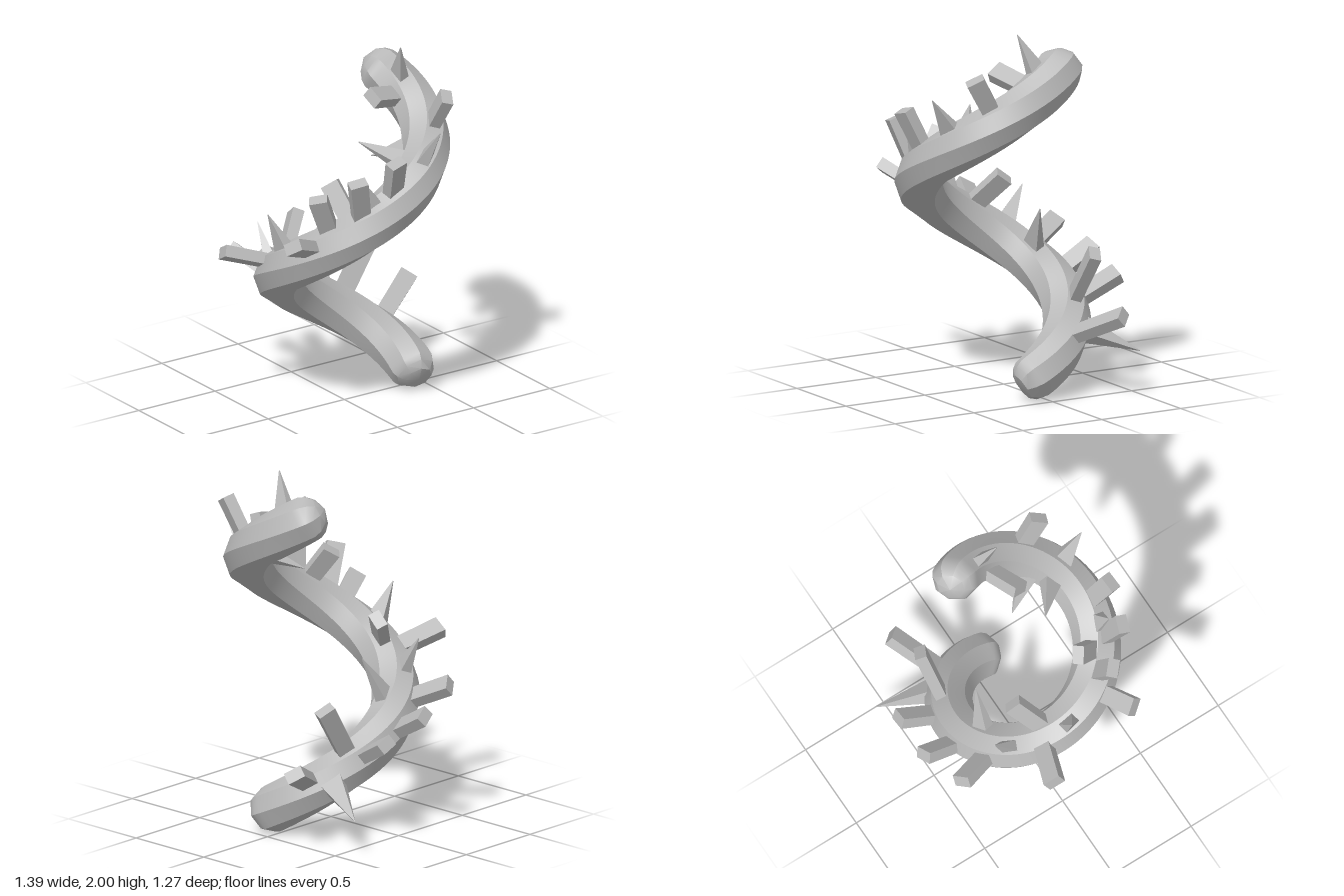
import * as THREE from 'three';
import { toCreasedNormals } from 'three/addons/utils/BufferGeometryUtils.js';

const RADIUS = 0.4, TUBE = 0.13, CZ = 0.07, START = -0.15, END = Math.PI * 2 + 0.74;
const V = (x, y, z) => new THREE.Vector3(x, y, z);

// Rising spiral, with its direction of travel
const spiral = a => V(RADIUS * Math.cos(a), 0.115 + 0.2445 * a, CZ - RADIUS * Math.sin(a));
const tangent = a => V(-RADIUS * Math.sin(a), 0.2445, -RADIUS * Math.cos(a)).normalize();

// Eight-sided stem swept along the spiral, drawn in at both ends
function stemGeometry() {
  const sides = 8, steps = 96, pos = [], index = [];
  for (let i = 0; i <= steps; i++) {
    const a = START + (END - START) * i / steps;
    const d = Math.min(a - START, END - a);
    const r = TUBE * Math.min(1, 0.6 + 0.4 * Math.sqrt(Math.max(0, d) / 0.16));
    const t = tangent(a), u = V(Math.cos(a), 0, -Math.sin(a)), v = t.clone().cross(u);
    for (let j = 0; j < sides; j++) {
      const c = j / sides * Math.PI * 2;
      const p = spiral(a).addScaledVector(u, r * Math.cos(c)).addScaledVector(v, r * Math.sin(c));
      pos.push(p.x, p.y, p.z);
    }
  }
  for (let i = 0; i < steps; i++) for (let j = 0; j < sides; j++) {
    const k = (j + 1) % sides, p = i * sides, q = p + sides;
    index.push(p + j, p + k, q + j, p + k, q + k, q + j);
  }
  // End caps
  const first = pos.length / 3, last = steps * sides;
  const s = spiral(START - 0.03), e = spiral(END + 0.06);
  pos.push(s.x, s.y, s.z, e.x, e.y, e.z);
  for (let j = 0; j < sides; j++) {
    const k = (j + 1) % sides;
    index.push(first, k, j, first + 1, last + j, last + k);
  }
  const g = new THREE.BufferGeometry();
  g.setAttribute('position', new THREE.Float32BufferAttribute(pos, 3));
  g.setIndex(index);
  return toCreasedNormals(g, 0.55);
}

// Four-sided shard from base to tip, its wide side along the stem
function shard(base, tip, baseWidth, tipWidth, material) {
  const dir = tip.clone().sub(base), len = dir.length();
  dir.normalize();
  const t = tangent(Math.atan2(CZ - base.z, base.x));
  const x = t.addScaledVector(dir, -t.dot(dir)).normalize();
  const z = x.clone().cross(dir);
  const k = Math.SQRT1_2;
  const g = new THREE.CylinderGeometry(tipWidth * k, baseWidth * k, len, 4, 1).toNonIndexed();
  g.rotateY(Math.PI / 4).scale(1, 1, 0.65).translate(0, len / 2, 0);
  g.applyMatrix4(new THREE.Matrix4().makeBasis(x, dir, z).setPosition(base));
  g.computeVertexNormals();
  return new THREE.Mesh(g, material);
}

// base x y z, tip x y z
const BLOCKS = [
  [0.38, 0.32, -0.2, 0.66, 0.46, -0.35],
  [0.2, 0.46, -0.31, 0.4, 0.76, -0.33],
  [0.14, 0.45, -0.37, 0.2, 0.58, -0.6],
  [-0.08, 0.53, -0.36, -0.08, 0.68, -0.62],
  [-0.25, 0.66, -0.3, -0.35, 0.78, -0.55],
  [-0.43, 0.87, -0.08, -0.68, 0.95, -0.17],
  [-0.38, 0.9, -0.02, -0.22, 1.09, -0.14],
  [-0.4, 1.05, 0.3, -0.61, 1.14, 0.39],
  [-0.32, 1.13, 0.33, -0.43, 1.37, 0.37],
  [-0.22, 1.18, 0.4, -0.27, 1.39, 0.25],
  [-0.2, 1.22, 0.45, -0.28, 1.48, 0.53],
  [-0.02, 1.32, 0.48, -0.07, 1.57, 0.59],
  [0.36, 1.57, 0.28, 0.38, 1.8, 0.42],
  [0.35, 1.69, 0.03, 0.1, 1.76, 0.12],
];
const SPIKES = [
  [0.31, 0.33, -0.3, 0.44, 0.2, -0.59],
  [-0.17, 0.64, -0.28, 0, 0.94, -0.23],
  [-0.33, 0.75, -0.19, -0.34, 1, -0.33],
  [-0.42, 0.93, 0.09, -0.53, 1.2, 0.04],
  [-0.13, 1.27, 0.46, -0.2, 1.44, 0.49],
  [0.19, 1.43, 0.38, -0.04, 1.56, 0.19],
  [0.2, 1.44, 0.43, 0.22, 1.68, 0.59],
  [0.27, 1.5, 0.29, 0.12, 1.41, 0.08],
  [0.37, 1.72, -0.02, 0.3, 2, 0.1],
];

export function createModel() {
  const stone = new THREE.MeshStandardMaterial({ color: 0xb8b8b8 });
  stone.name = 'stone grey';
  const model = new THREE.Group();
  model.name = 'spikedSpiral';

  const stem = new THREE.Mesh(stemGeometry(), stone);
  stem.name = 'spiralStem';
  model.add(stem);

  // Blunt and pointed shards along the stem
  const addShards = (rows, name, baseWidth, tipWidth) => rows.forEach(r => {
    const m = shard(V(r[0], r[1], r[2]), V(r[3], r[4], r[5]), baseWidth, tipWidth, stone);
    m.name = name;
    model.add(m);
  });
  addShards(BLOCKS, 'bluntShard', 0.095, 0.1);
  addShards(SPIKES, 'pointedShard', 0.13, 0.004);
  return model;
}
